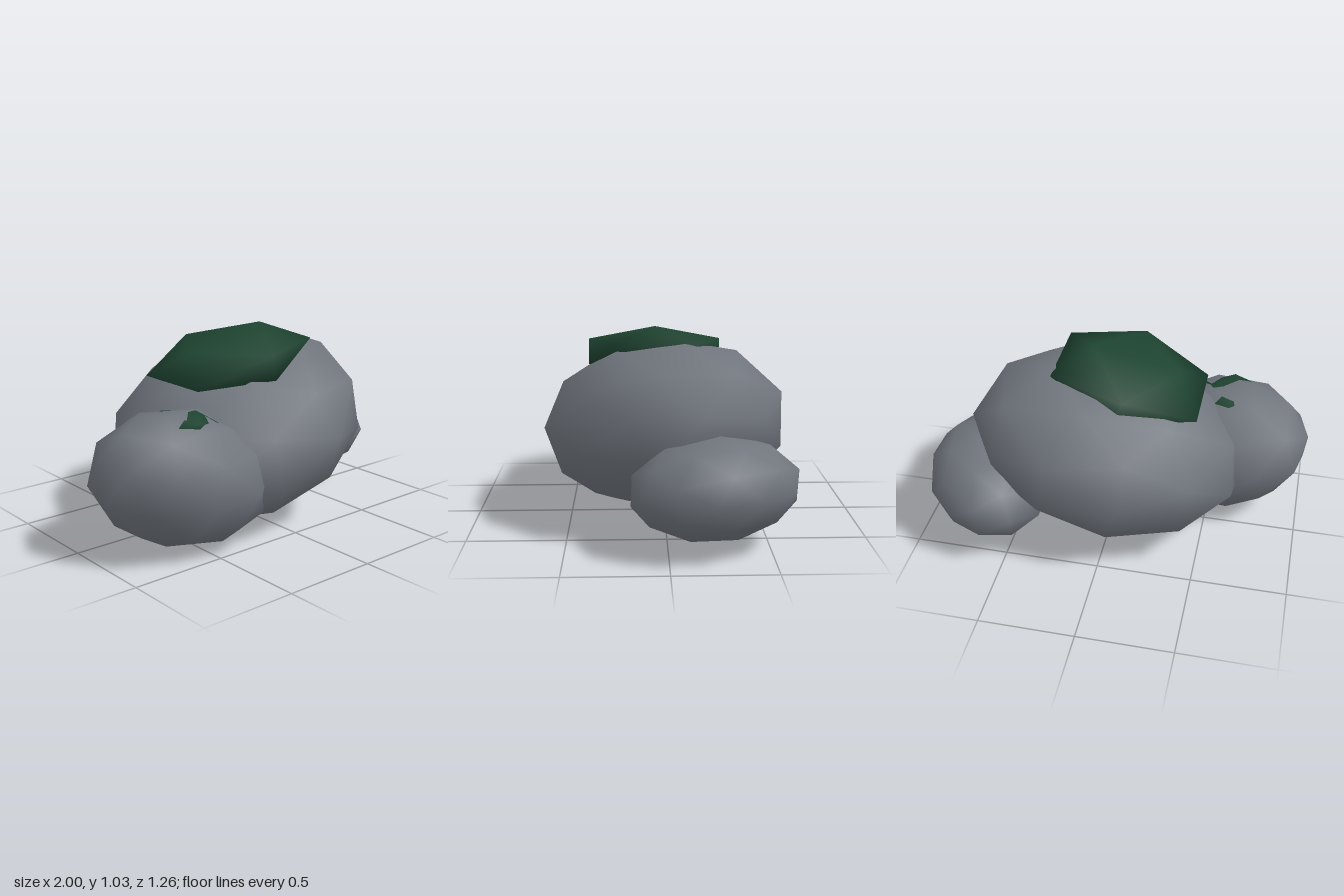
import * as THREE from 'three';
import { mergeVertices } from 'three/addons/utils/BufferGeometryUtils.js';

// Smooth icosphere stretched along three axis vectors around a centre.
function blob(name, material, detail, center, ax, ay, az) {
  let geo = new THREE.IcosahedronGeometry(1, detail);
  geo.deleteAttribute('uv');
  geo.deleteAttribute('normal');
  geo = mergeVertices(geo, 1e-4);
  const m = new THREE.Matrix4().makeBasis(
    new THREE.Vector3(...ax), new THREE.Vector3(...ay), new THREE.Vector3(...az));
  m.setPosition(...center);
  geo.applyMatrix4(m);
  geo.computeVertexNormals();
  const mesh = new THREE.Mesh(geo, material);
  mesh.name = name;
  return mesh;
}

// Flat moss cushion: a squashed icosahedron tilted about z.
function moss(name, material, center, [rx, ry, rz], tilt) {
  const c = Math.cos(tilt), s = Math.sin(tilt);
  return blob(name, material, 0, center, [rx * c, rx * s, 0], [-ry * s, ry * c, 0], [0, 0, rz]);
}

export function createModel() {
  const stone = new THREE.MeshStandardMaterial({ color: 0x70757d });
  stone.name = 'stone grey';
  const green = new THREE.MeshStandardMaterial({ color: 0x1e4431 });
  green.name = 'moss green';

  const group = new THREE.Group();
  group.name = 'mossyRocks';
  group.add(
    // Large boulder in the middle
    blob('mainRock', stone, 1, [0.03, 0.488, 0], [0.71, 0.17, -0.175], [-0.09, 0.445, -0.01], [0.15, 0.015, 0.625]),
    // Smaller boulders on either side
    blob('frontRightRock', stone, 1, [-0.55, 0.358, 0.26], [0.41, -0.14, -0.14], [0.1, 0.335, 0], [0.22, -0.04, 0.34]),
    blob('backLeftRock', stone, 1, [0.65, 0.308, -0.228], [0.265, 0, -0.21], [0.03, 0.263, -0.01], [0.215, 0, 0.37]),
    // Moss cushions
    moss('mainMoss', green, [-0.07, 0.865, 0.05], [0.455, 0.13, 0.411], 0.22),
    moss('smallMoss', green, [-0.58, 0.655, 0.295], [0.188, 0.055, 0.182], -0.05),
  );
  return group;
}
